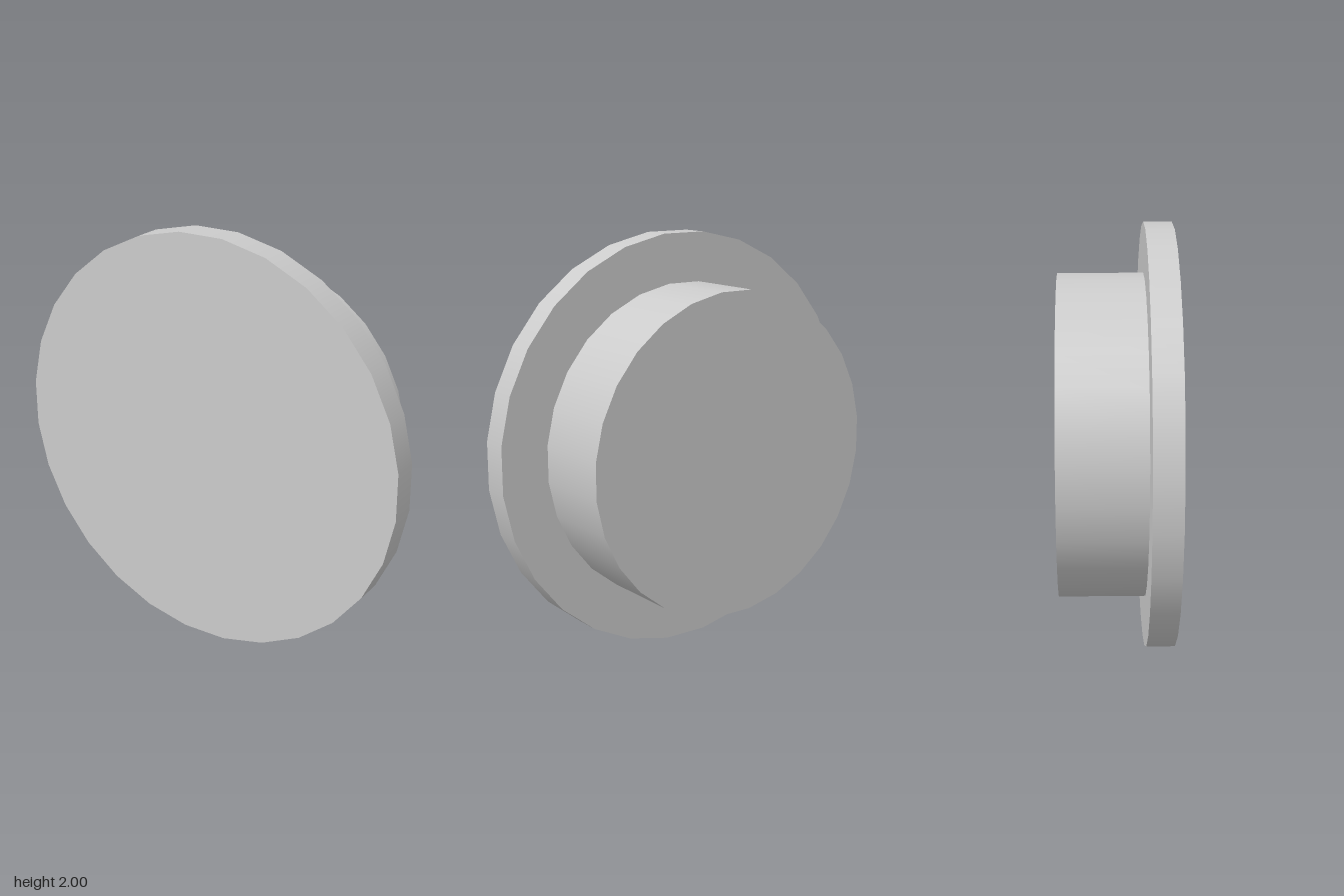
import * as THREE from 'three';

const SIDES = 28;

// Faceted-outline disc lying along z, with flats at top, bottom and sides
function disc(name, halfWidth, zBack, zFront, material) {
  const radius = halfWidth / Math.cos(Math.PI / SIDES);
  const geometry = new THREE.CylinderGeometry(radius, radius, zFront - zBack, SIDES, 1, false, Math.PI / SIDES);
  geometry.rotateX(Math.PI / 2);
  const mesh = new THREE.Mesh(geometry, material);
  mesh.name = name;
  mesh.position.set(0, 1, (zFront + zBack) / 2);
  return mesh;
}

export function createModel() {
  const group = new THREE.Group();
  group.name = 'flangedPlug';
  const material = new THREE.MeshStandardMaterial({ color: 0xcccccc });

  // Wide front plate and the narrower plug behind it
  group.add(disc('flange', 1, 0.135, 0.267, material));
  group.add(disc('plug', 0.766, -0.267, 0.135, material));
  return group;
}
